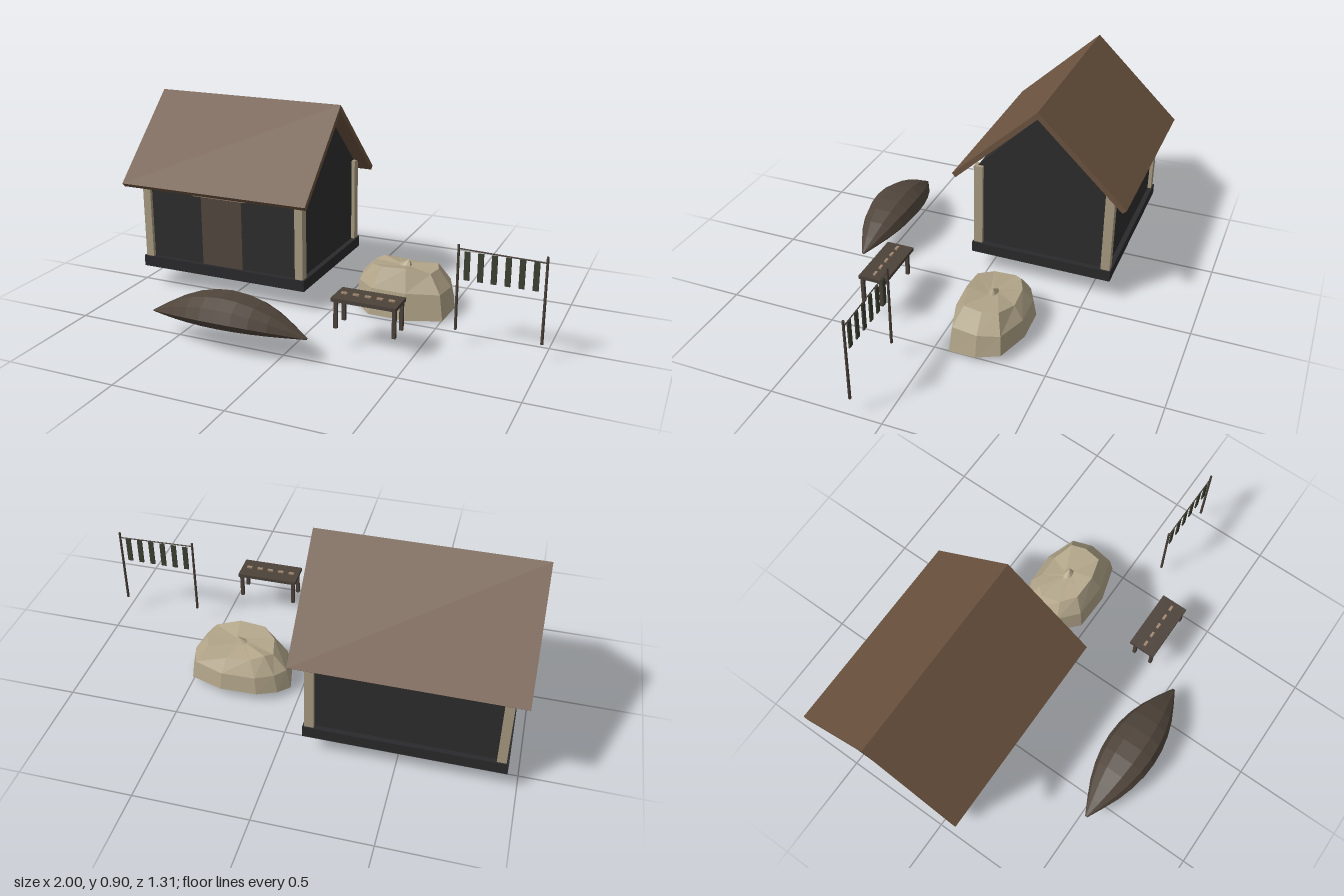
import * as THREE from 'three';

const mat = (name, color, extra = {}) => new THREE.MeshStandardMaterial({ name, color, ...extra });
const M = {
  roof: mat('brown roof', 0x6b533f),
  wall: mat('charcoal wall', 0x2d2d2d),
  plinth: mat('dark plinth', 0x2a2a2c),
  post: mat('pale timber', 0xa89b82),
  lintel: mat('tan timber', 0xa0866f),
  door: mat('door brown', 0x52473e),
  wood: mat('weathered wood', 0x4c423a),
  boat: mat('boat wood', 0x50453b, { flatShading: true, side: THREE.DoubleSide }),
  rock: mat('sandy rock', 0xb2a589, { flatShading: true }),
  strip: mat('drying strips', 0x3c4031),
};

function add(parent, name, geometry, material) {
  const mesh = new THREE.Mesh(geometry, material);
  mesh.name = name;
  parent.add(mesh);
  return mesh;
}

// Box given by its lower and upper limits on each axis
function box(parent, name, material, [x0, x1], [y0, y1], [z0, z1]) {
  const g = new THREE.BoxGeometry(x1 - x0, y1 - y0, z1 - z0);
  g.translate((x0 + x1) / 2, (y0 + y1) / 2, (z0 + z1) / 2);
  return add(parent, name, g, material);
}

// Profile of (z, y) points extruded along x
function prism(profile, x0, x1) {
  const shape = new THREE.Shape(profile.map(([z, y]) => new THREE.Vector2(-z, y)));
  const g = new THREE.ExtrudeGeometry(shape, { depth: x1 - x0, bevelEnabled: false });
  return g.rotateY(Math.PI / 2).translate(x0, 0, 0);
}

// Faceted skin over closed rings, with a fan to a point at each end
function loft(rings, start, end) {
  const p = [];
  const tri = (...v) => v.forEach((q) => p.push(...q));
  const n = rings[0].length, last = rings[rings.length - 1];
  for (let j = 0; j < n; j++) {
    const k = (j + 1) % n;
    tri(start, rings[0][k], rings[0][j]);
    for (let i = 0; i < rings.length - 1; i++) {
      const a = rings[i], b = rings[i + 1];
      tri(a[j], a[k], b[k]);
      tri(a[j], b[k], b[j]);
    }
    tri(end, last[j], last[k]);
  }
  const g = new THREE.BufferGeometry();
  g.setAttribute('position', new THREE.Float32BufferAttribute(p, 3));
  g.computeVertexNormals();
  return g;
}

function makeGroup(parent, name) {
  const g = new THREE.Group();
  g.name = name;
  parent.add(g);
  return g;
}

function buildHouse(root) {
  const g = makeGroup(root, 'house');
  box(g, 'plinth', M.plinth, [-0.955, -0.105], [0.1, 0.152], [-0.598, 0.073]);
  const gable = [[0.05, 0.15], [-0.575, 0.15], [-0.575, 0.563], [-0.25, 0.868], [0.05, 0.56]];
  add(g, 'walls', prism(gable, -0.93, -0.13), M.wall);
  const roof = [[-0.245, 0.905], [0.152, 0.53], [0.135, 0.512], [-0.245, 0.872], [-0.64, 0.498], [-0.658, 0.515]];
  add(g, 'roof', prism(roof, -1, -0.06), M.roof);
  for (const x of [-0.945, -0.152])
    for (const z of [0.025, -0.592])
      box(g, 'cornerPost', M.post, [x, x + 0.039], [0.15, 0.558], [z, z + 0.042]);
  box(g, 'door', M.door, [-0.635, -0.425], [0.15, 0.5], [0.05, 0.059]);
  box(g, 'lintel', M.lintel, [-0.67, -0.395], [0.487, 0.515], [0.04, 0.074]);
}

function buildBoat(root) {
  // Half cross-section as (z offset, y), mirrored to the other side
  const half = [[-0.09, 0.125], [-0.122, 0.165], [-0.1, 0.215], [-0.048, 0.246]];
  const section = [[0, 0.092], ...half, ...half.slice().reverse().map(([z, y]) => [-z, y])];
  const cx = -0.24, len = 0.363, cz = 0.533, tipY = 0.108, rings = [];
  for (let i = 0; i <= 10; i++) {
    const t = -1 + i / 5;
    const s = Math.max(1 - t * t, 0.05);
    rings.push(section.map(([z, y]) => [cx + t * len, tipY + (y - tipY) * s, cz + z * s]));
  }
  add(root, 'boat', loft(rings, [cx - len, tipY, cz], [cx + len, tipY, cz]), M.boat);
}

function buildRock(root) {
  const outline = [[0.075, -0.112], [0.171, -0.027], [0.348, -0.022], [0.508, -0.07], [0.526, -0.198],
    [0.492, -0.3], [0.342, -0.353], [0.176, -0.348], [0.09, -0.305], [0.043, -0.251]];
  const cx = 0.29, cz = -0.19;
  // Rings as scale and height; the base tilts up towards the back
  const levels = [[1, null], [0.92, 0.125], [0.66, 0.205], [0.12, 0.203]];
  const rings = levels.map(([s, y], i) => outline.map(([x, z], j) => {
    const wobble = i === 2 ? (j % 3 - 1) * 0.008 + (z - cz) * 0.08 : 0;
    return [cx + (x - cx) * s, y === null ? (-0.022 - z) * 0.135 : y + wobble, cz + (z - cz) * s];
  }));
  add(root, 'boulder', loft(rings, [cx, 0.023, cz], [0.305, 0.23, -0.193]), M.rock);
}

function buildBench(root) {
  const g = makeGroup(root, 'workBench');
  box(g, 'benchTop', M.wood, [0.16, 0.446], [0.222, 0.238], [0.251, 0.379]);
  for (const x of [0.17, 0.428])
    for (const z of [0.268, 0.357])
      box(g, 'benchLeg', M.wood, [x, x + 0.016], [0.1, 0.222], [z, z + 0.015]);
  // Small pieces laid out along the top
  for (let i = 0; i < 5; i++) {
    const x = 0.196 + i * 0.053;
    box(g, 'smallTool', M.lintel, [x - 0.013, x + 0.013], [0.238, 0.245], [0.31, 0.322]);
  }
}

function buildRack(root) {
  const g = makeGroup(root, 'dryingRack');
  const z = 0.138, a = 0.628, b = 0.993;
  for (const x of [a, b])
    add(g, 'rackPole', new THREE.CylinderGeometry(0.0055, 0.0065, 0.38, 8).translate(x, 0.27, z), M.wood);
  const rope = new THREE.LineCurve3(new THREE.Vector3(a, 0.443, z), new THREE.Vector3(b, 0.433, z));
  add(g, 'rope', new THREE.TubeGeometry(rope, 1, 0.0028, 6), M.wood);
  for (let i = 0; i < 6; i++) {
    const x = 0.666 + i * 0.0573;
    box(g, 'hangingStrip', M.strip, [x - 0.012, x + 0.012], [0.308, 0.432], [z - 0.003, z + 0.003]);
  }
}

export function createModel() {
  const root = new THREE.Group();
  root.name = 'fishingHut';
  buildHouse(root);
  buildBoat(root);
  buildRock(root);
  buildBench(root);
  buildRack(root);
  return root;
}
